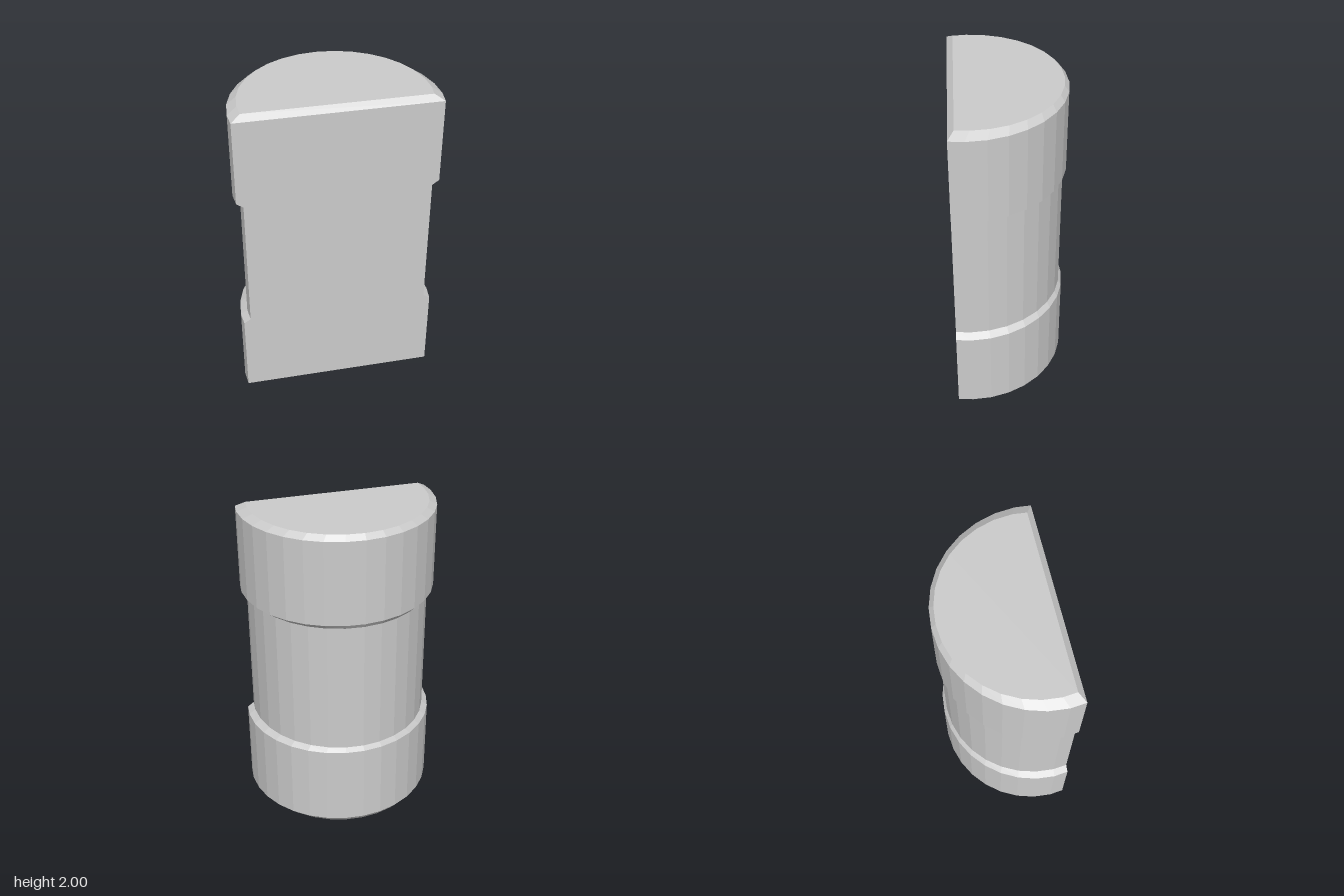
import * as THREE from 'three';

// D-shaped section: half of a 32-sided circle, cut flat at the front
function section() {
  const r = 0.597, cz = 0.252, pts = [[-0.588, 0.342]];
  for (let k = -8; k <= 8; k++) {
    const a = (k * Math.PI) / 16;
    pts.push([r * Math.sin(a), cz - r * Math.cos(a)]);
  }
  pts.push([0.588, 0.342]);
  return pts;
}

// Joins a stack of scaled sections into a closed solid
function loft(base, levels) {
  const zBack = -0.345, zFront = 0.342, n = base.length, pos = [];
  const rings = levels.map(({ y, sx, back, front }) =>
    base.map(([x, z]) => {
      const t = (z - zBack) / (zFront - zBack);
      return [x * sx, y, back + (front - back) * t];
    }));
  const tri = (a, b, c) => pos.push(...a, ...b, ...c);
  for (let i = 0; i < rings.length - 1; i++) {
    const lo = rings[i], hi = rings[i + 1];
    for (let j = 0; j < n; j++) {
      const k = (j + 1) % n;
      tri(lo[j], hi[k], lo[k]);
      tri(lo[j], hi[j], hi[k]);
    }
  }
  // End caps
  const bottom = rings[0], top = rings[rings.length - 1];
  for (let j = 1; j < n - 1; j++) {
    tri(bottom[0], bottom[j], bottom[j + 1]);
    tri(top[0], top[j + 1], top[j]);
  }
  const geo = new THREE.BufferGeometry();
  geo.setAttribute('position', new THREE.Float32BufferAttribute(pos, 3));
  geo.computeVertexNormals();
  return geo;
}

export function createModel() {
  const group = new THREE.Group();
  group.name = 'halfRoundBlock';
  const material = new THREE.MeshStandardMaterial({ color: 0xcccccc, flatShading: true });

  // Bevelled ends, full-width bands and a narrower waist
  const end = { sx: 0.905, back: -0.319, front: 0.306 };
  const band = { sx: 1, back: -0.345, front: 0.342 };
  const waist = { sx: 0.932, back: -0.326, front: 0.342 };
  const levels = [
    { y: 0, ...end },
    { y: 0.035, ...band },
    { y: 0.555, ...band },
    { y: 0.583, ...waist },
    { y: 1.422, ...waist },
    { y: 1.45, ...band },
    { y: 1.968, ...band },
    { y: 2, ...end },
  ];
  const body = new THREE.Mesh(loft(section(), levels), material);
  body.name = 'body';
  group.add(body);
  return group;
}
